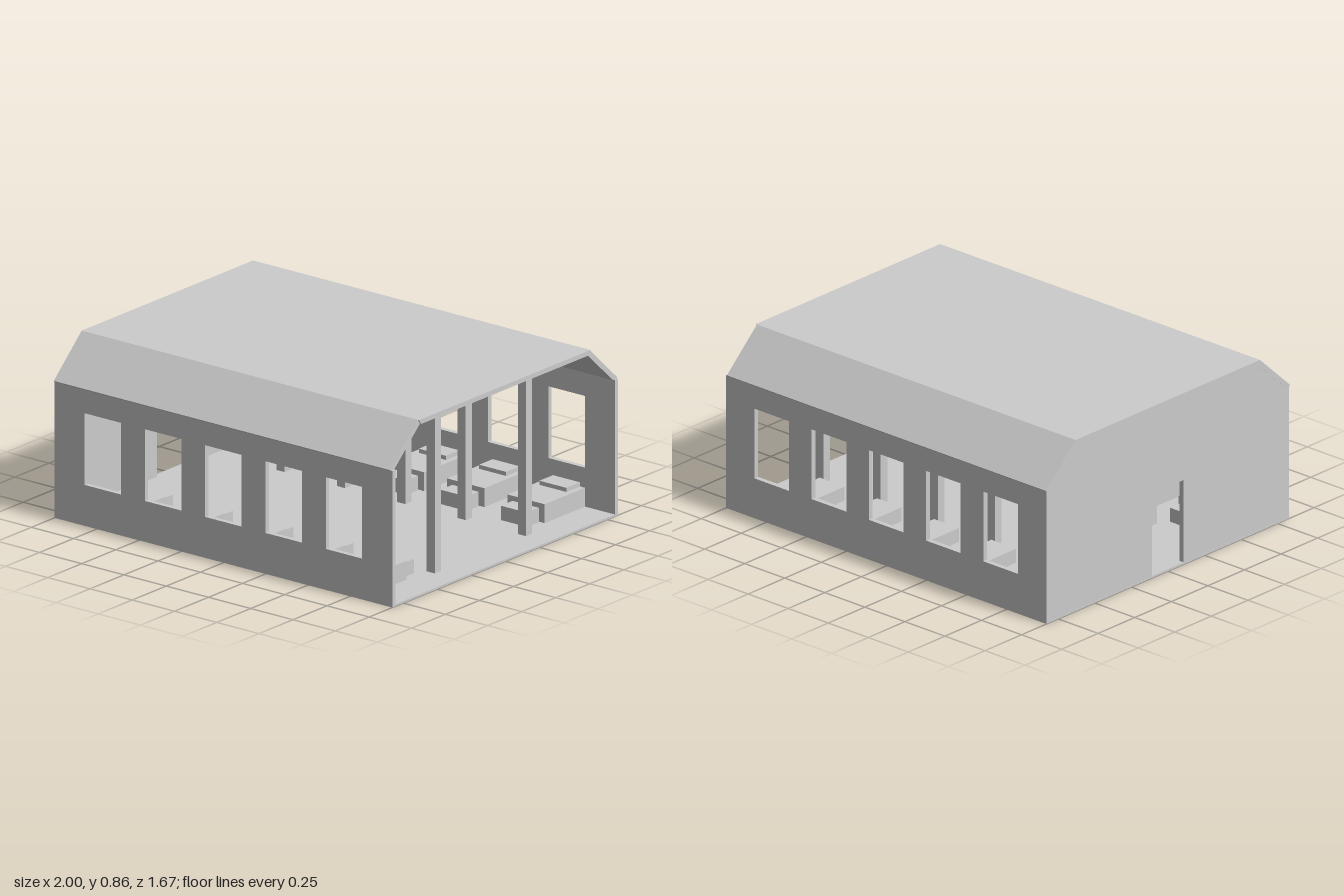
import * as THREE from 'three';

const material = new THREE.MeshStandardMaterial({ color: 0xcccccc, flatShading: true });

export function createModel() {
  const model = new THREE.Group();
  model.name = 'barrack';

  const add = (parent, name, geometry) => {
    const mesh = new THREE.Mesh(geometry, material);
    mesh.name = name;
    parent.add(mesh);
    return mesh;
  };

  // Box given by its limits on each axis
  const box = (parent, name, [x0, x1], [y0, y1], [z0, z1]) => {
    const geometry = new THREE.BoxGeometry(x1 - x0, y1 - y0, z1 - z0);
    geometry.translate((x0 + x1) / 2, (y0 + y1) / 2, (z0 + z1) / 2);
    return add(parent, name, geometry);
  };

  const outline = (points) => new THREE.Shape(points.map(([a, b]) => new THREE.Vector2(a, b)));
  const rectangle = (a0, a1, b0, b1) => outline([[a0, b0], [a1, b0], [a1, b1], [a0, b1]]);

  // Cross-section (-z, y) swept along x
  const sweepX = (parent, name, shape, x0, x1) => {
    const geometry = new THREE.ExtrudeGeometry(shape, { depth: x1 - x0, bevelEnabled: false });
    geometry.rotateY(Math.PI / 2);
    geometry.translate(x0, 0, 0);
    return add(parent, name, geometry);
  };

  const bays = [-2, -1, 0, 1, 2].map((i) => i * 0.357);

  // Floor slab
  box(model, 'floor', [-1, 1], [0, 0.01], [-0.83, 0.83]);

  // Long walls, each with five window openings
  for (const side of [1, -1]) {
    const wall = rectangle(-1, 1, 0.005, 0.667);
    for (const x of bays) wall.holes.push(rectangle(x - 0.108, x + 0.108, 0.2, 0.55));
    const geometry = new THREE.ExtrudeGeometry(wall, { depth: 0.025, bevelEnabled: false });
    geometry.translate(0, 0, side > 0 ? 0.805 : -0.83);
    add(model, side > 0 ? 'frontWall' : 'backWall', geometry);
  }

  // Gabled end wall with a doorway; the opposite end stays open
  const endWall = outline([
    [-0.828, 0.005], [-0.108, 0.005], [-0.108, 0.423], [0.108, 0.423], [0.108, 0.005],
    [0.828, 0.005], [0.828, 0.667], [0.622, 0.855], [-0.622, 0.855], [-0.828, 0.667],
  ]);
  sweepX(model, 'endWall', endWall, -0.999, -0.975);

  // Roof: flat top and two sloping sides
  const top = outline([[-0.615, 0.837], [0.615, 0.837], [0.63, 0.86], [-0.63, 0.86]]);
  sweepX(model, 'roofTop', top, -1, 0.997);
  for (const s of [1, -1]) {
    const slope = outline([
      [s * 0.835, 0.67], [s * 0.63, 0.86], [s * 0.615, 0.837], [s * 0.805, 0.663], [s * 0.83, 0.663],
    ]);
    sweepX(model, s > 0 ? 'backRoofSlope' : 'frontRoofSlope', slope, -1, 0.99);
  }

  // Posts and beds, one of each per bay on both sides
  for (const side of [1, -1]) {
    const span = (inner, outer) => (side > 0 ? [inner, outer] : [-outer, -inner]);
    for (const x of bays) {
      const px = x + 0.133;
      box(model, 'post', [px - 0.024, px + 0.024], [0.001, 0.84], span(0.312, 0.358));

      const bed = new THREE.Group();
      bed.name = 'bed';
      model.add(bed);
      box(bed, 'mattress', [x - 0.11, x + 0.11], [0.009, 0.102], span(0.508, 0.805));
      box(bed, 'pillow', [x - 0.08, x + 0.08], [0.1, 0.122], span(0.705, 0.805));
      box(bed, 'footChest', [x - 0.075, x + 0.08], [0.009, 0.08], span(0.415, 0.502));
    }
  }

  return model;
}
